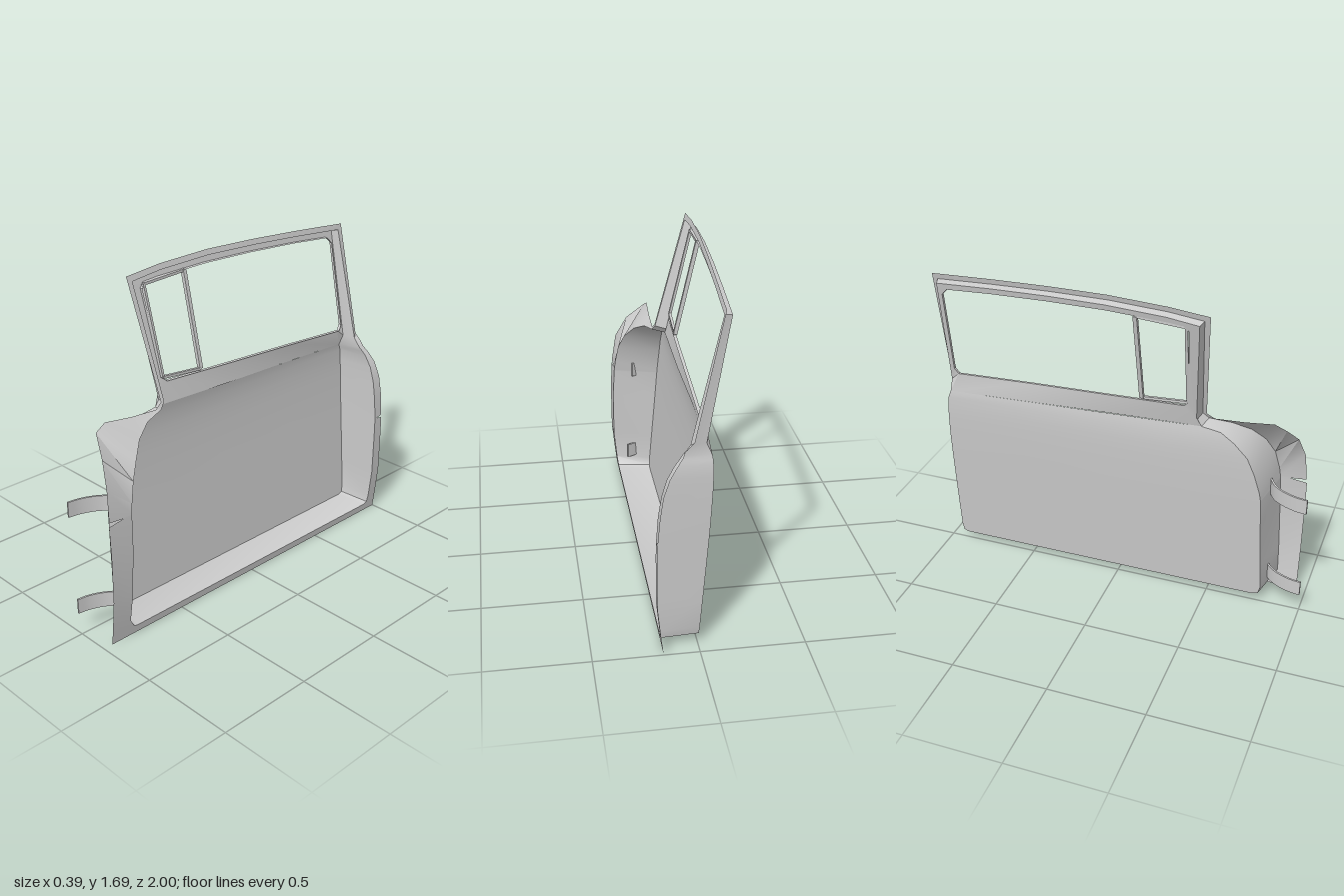
import * as THREE from 'three';
import { toCreasedNormals } from 'three/addons/utils/BufferGeometryUtils.js';

const material = new THREE.MeshStandardMaterial({ color: 0xcccccc, side: THREE.DoubleSide });

// Piecewise-linear lookup in a table of [y, x]
function lookup(table, y) {
  let i = 1;
  while (i < table.length - 1 && y > table[i][0]) i++;
  const [y0, x0] = table[i - 1], [y1, x1] = table[i];
  return x0 + (x1 - x0) * (y - y0) / (y1 - y0);
}

// Side-on curvature of the outer body line and of the inner pressing
const OUTER = [[0, 0.17], [0.1, 0.182], [0.25, 0.197], [0.55, 0.198], [0.7, 0.187], [0.84, 0.165],
  [0.92, 0.13], [1.0, 0.065], [1.04, 0.01], [1.65, -0.165]];
const INNER = [[0.04, -0.005], [0.62, -0.05], [0.85, -0.063], [0.95, -0.062], [1.03, -0.05], [1.65, -0.203]];

// The window frame leans inward a little less toward the rear
function rearShift(z, y) {
  const s = THREE.MathUtils.clamp((0.47 - z) / 1.4, 0, 1);
  return y > 1 ? s * (0.015 + 0.045 * (y - 1) / 0.65) : 0;
}
const onOuter = ([z, y]) => new THREE.Vector3(lookup(OUTER, y) + rearShift(z, y), y, z);
const onInner = ([z, y]) => new THREE.Vector3(lookup(INNER, y) + rearShift(z, y), y, z);

// Sheet through rows of points
function sheet(name, rows, closed = false, crease = 0.45) {
  const pos = [];
  const push = (...pts) => pts.forEach(p => pos.push(p.x, p.y, p.z));
  for (let r = 0; r < rows.length - 1; r++) {
    const a = rows[r], b = rows[r + 1], n = a.length;
    for (let i = 0; i < (closed ? n : n - 1); i++) {
      const j = (i + 1) % n;
      push(a[i], b[i], b[j], a[i], b[j], a[j]);
    }
  }
  const geo = new THREE.BufferGeometry();
  geo.setAttribute('position', new THREE.Float32BufferAttribute(pos, 3));
  const mesh = new THREE.Mesh(toCreasedNormals(geo, crease), material);
  mesh.name = name;
  return mesh;
}

// Square bar between two points
function bar(name, p, q, size) {
  const mesh = new THREE.Mesh(new THREE.BoxGeometry(size, size, p.distanceTo(q)), material);
  mesh.position.copy(p).add(q).multiplyScalar(0.5);
  mesh.lookAt(q);
  mesh.name = name;
  return mesh;
}

// Rim sections: [flange outer edge], [flange inner edge], [panel edge], each as z, y
const FRONT = [
  [[0.5, 1.04], [0.47, 1.035], [0.45, 1.02]],
  [[0.65, 1.05], [0.58, 1.015], [0.55, 1.005]],
  [[0.8, 1.07], [0.67, 0.97], [0.62, 0.96]],
  [[0.86, 1.04], [0.735, 0.9], [0.69, 0.89]],
  [[0.905, 0.95], [0.78, 0.82], [0.73, 0.8]],
  [[0.935, 0.83], [0.805, 0.72], [0.76, 0.7]],
  [[0.947, 0.675], [0.812, 0.67], [0.767, 0.66]],
  [[0.86, 0.667], [0.813, 0.665], [0.768, 0.655]],
  [[0.95, 0.655], [0.814, 0.655], [0.769, 0.65]],
  [[0.95, 0.5], [0.82, 0.5], [0.774, 0.5]],
  [[0.95, 0.25], [0.832, 0.25], [0.784, 0.25]],
  [[0.95, 0.1], [0.84, 0.09], [0.79, 0.09]],
  [[0.95, 0], [0.815, 0.045], [0.78, 0.05]],
  [[0.8, 0], [0.79, 0.04], [0.75, 0.04]],
];
const REAR = [
  [[-0.9, 0], [-0.91, 0.04], [-0.9, 0.04]],
  [[-1, 0], [-0.935, 0.05], [-0.925, 0.05]],
  [[-1, 0.1], [-0.942, 0.09], [-0.932, 0.09]],
  [[-1, 0.25], [-0.943, 0.25], [-0.934, 0.25]],
  [[-1, 0.5], [-0.944, 0.5], [-0.935, 0.5]],
  [[-1, 0.575], [-0.945, 0.575], [-0.935, 0.575]],
  [[-0.96, 0.583], [-0.945, 0.583], [-0.935, 0.583]],
  [[-1, 0.592], [-0.945, 0.592], [-0.935, 0.592]],
  [[-1, 0.72], [-0.943, 0.7], [-0.935, 0.7]],
  [[-0.995, 0.82], [-0.942, 0.8], [-0.933, 0.8]],
  [[-0.985, 0.9], [-0.94, 0.88], [-0.93, 0.87]],
  [[-0.97, 0.95], [-0.935, 0.94], [-0.925, 0.93]],
  [[-0.955, 0.985], [-0.93, 0.965], [-0.917, 0.95]],
  [[-0.947, 1.01], [-0.922, 0.985], [-0.91, 0.97]],
];
const WINDOW = [
  [[-0.945, 1.05], [-0.92, 1.03], [-0.91, 1.03]],
  [[-0.935, 1.645], [-0.908, 1.617], [-0.897, 1.61]],
  [[-0.6, 1.667], [-0.6, 1.638], [-0.6, 1.63]],
  [[-0.3, 1.682], [-0.3, 1.653], [-0.3, 1.644]],
  [[0, 1.69], [0, 1.661], [0, 1.65]],
  [[0.3, 1.68], [0.3, 1.651], [0.3, 1.64]],
  [[0.505, 1.66], [0.475, 1.632], [0.462, 1.62]],
  [[0.46, 1.065], [0.44, 1.065], [0.425, 1.05]],
];

// Window pressing: [edge next to rim], [edge of the glass opening]
const OPENING = [
  [[0.45, 1.02], [0.365, 1.13]],
  [[0.425, 1.05], [0.387, 1.155]],
  [[0.462, 1.62], [0.41, 1.58]],
  [[0.462, 1.62], [0.385, 1.605]],
  [[0.3, 1.64], [0.3, 1.612]],
  [[0, 1.65], [0, 1.62]],
  [[-0.3, 1.644], [-0.3, 1.614]],
  [[-0.6, 1.63], [-0.6, 1.6]],
  [[-0.897, 1.61], [-0.845, 1.582]],
  [[-0.897, 1.61], [-0.875, 1.55]],
  [[-0.91, 1.03], [-0.885, 1.1]],
  [[-0.91, 0.97], [-0.865, 1.07]],
  [[-0.46, 0.987], [-0.46, 1.092]],
  [[0, 1.003], [0, 1.112]],
];

// Curved hinge strap, swept from the door front wall
function hinge(name, y, dx) {
  const curve = new THREE.CatmullRomCurve3([[-0.05, 1], [-0.04, 0.94], [-0.01, 0.87], [0.03, 0.82], [0.09, 0.785]]
    .map(([x, z]) => new THREE.Vector3(x + dx, y, z)));
  const pts = curve.getPoints(12);
  const t = 0.005, h = 0.04;
  const rows = pts.map((p, i) => {
    const tan = curve.getTangent(i / 12);
    const n = new THREE.Vector3(-tan.z, 0, tan.x).normalize().multiplyScalar(t);
    return [[1, h], [1, -h], [-1, -h], [-1, h]].map(([s, v]) =>
      p.clone().addScaledVector(n, s).add(new THREE.Vector3(0, v, 0)));
  });
  const group = new THREE.Group();
  group.name = name;
  group.add(sheet('strap', rows, true));
  for (const r of [rows[0], rows[12]]) group.add(sheet('strapEnd', [[r[0], r[1]], [r[3], r[2]]]));
  return group;
}

export function createModel() {
  const door = new THREE.Group();
  door.name = 'vehicleDoor';

  // Flange and side walls running all the way round door and window
  const rim = [...FRONT, ...REAR, ...WINDOW];
  const edgeB = rim.map(s => onOuter(s[1]));
  door.add(sheet('rimFlange', [rim.map(s => onOuter(s[0])), edgeB], true));
  door.add(sheet('sideWall', [edgeB, rim.map(s => onInner(s[2]))], true));

  // Inner panel, lofted between the front and rear edges
  const rows = FRONT.map((s, i) => {
    const f = s[2], r = REAR[REAR.length - 1 - i][2];
    const a = onInner(f), b = onInner(r);
    return [0, 0.25, 0.5, 0.75, 1].map(t => a.clone().lerp(b, t));
  });
  door.add(sheet('innerPanel', rows, false, 0.7));

  // Window frame with a small return around the opening
  const lip = OPENING.map(s => onInner(s[1]));
  door.add(sheet('windowFrame', [OPENING.map(s => onInner(s[0])), lip], true));
  door.add(sheet('windowReturn', [lip, lip.map(p => p.clone().add(new THREE.Vector3(0.016, -0.002, 0)))], true));

  // Quarter window: divider bar and slim surround
  const inset = p => onInner(p).add(new THREE.Vector3(0.01, 0, 0));
  const quarter = [[0.145, 1.13], [0.145, 1.612], [0.395, 1.598], [0.383, 1.15], [0.145, 1.13]].map(inset);
  door.add(bar('dividerBar', quarter[0], quarter[1], 0.02));
  for (let i = 1; i < 4; i++) door.add(bar('quarterWindowTrim', quarter[i], quarter[i + 1], 0.014));

  door.add(hinge('upperHinge', 0.67, 0));
  door.add(hinge('lowerHinge', 0.15, 0.03));
  return door;
}
